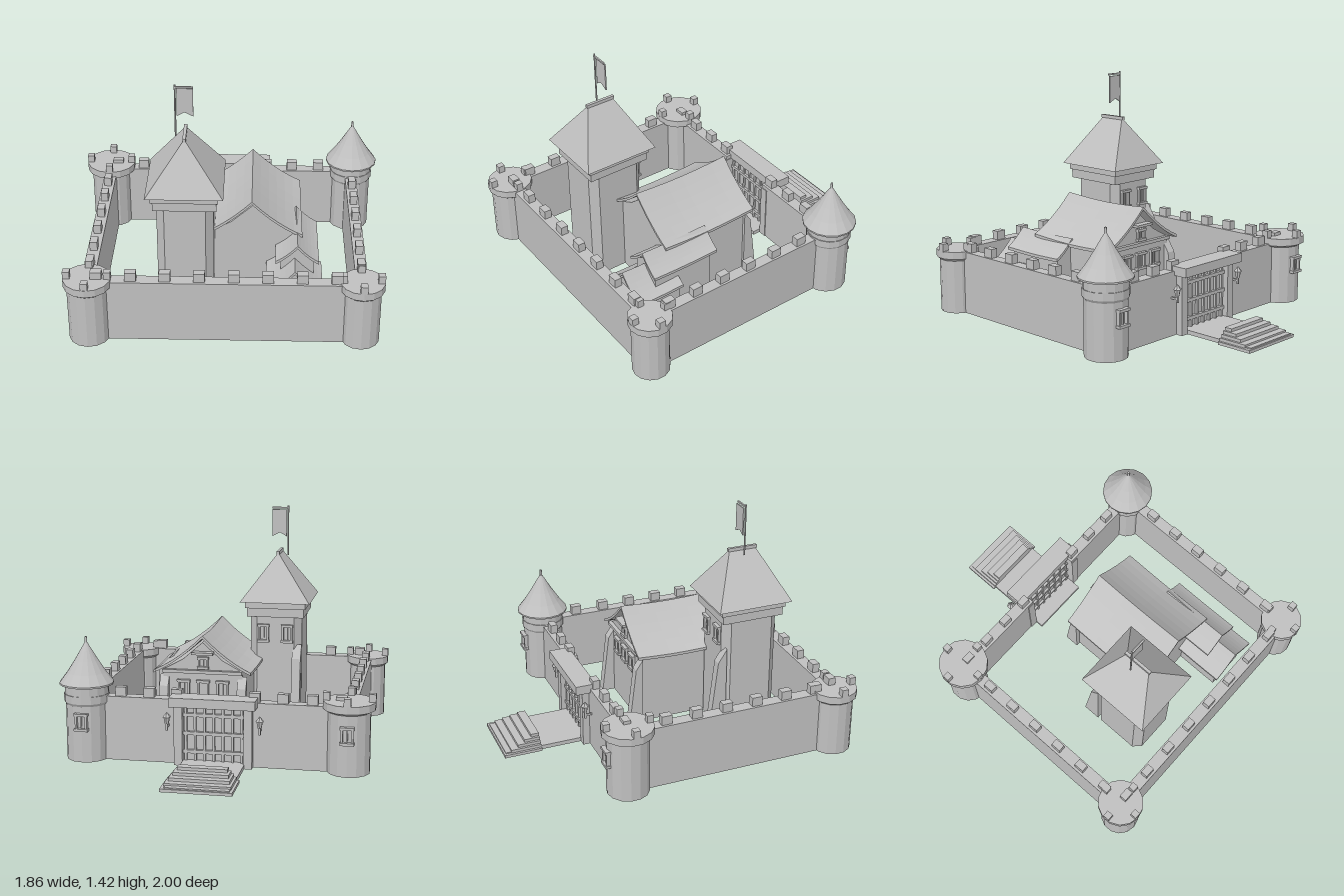
import * as THREE from 'three';

const stone = new THREE.MeshStandardMaterial({ color: 0xc0c0c0 });
stone.name = 'stone grey';

function createMesh(parent, name, geometry, x = 0, y = 0, z = 0) {
  // faceted normals throughout
  const g = geometry.index ? geometry.toNonIndexed() : geometry;
  g.computeVertexNormals();
  const m = new THREE.Mesh(g, stone);
  m.name = name;
  m.position.set(x, y, z);
  parent.add(m);
  return m;
}

// box given by its extents
function box(parent, name, x0, x1, y0, y1, z0, z1) {
  return createMesh(parent, name, new THREE.BoxGeometry(x1 - x0, y1 - y0, z1 - z0),
    (x0 + x1) / 2, (y0 + y1) / 2, (z0 + z1) / 2);
}

function group(parent, name, x = 0, y = 0, z = 0) {
  const g = new THREE.Group();
  g.name = name;
  g.position.set(x, y, z);
  parent.add(g);
  return g;
}

const lathe = (points, sides) =>
  new THREE.LatheGeometry(points.map(p => new THREE.Vector2(...p)), sides);

const polygon = points => new THREE.Shape(points.map(p => new THREE.Vector2(...p)));

// framed window facing -z
function windowFrame(parent, x, y, z, w = 0.06, h = 0.09) {
  const g = group(parent, 'window', x, y, z);
  for (const s of [-1, 1]) box(g, 'windowJamb', s * w / 2 - 0.006, s * w / 2 + 0.006, -h / 2, h / 2, -0.015, 0.01);
  for (const s of [-1, 1]) box(g, s < 0 ? 'windowSill' : 'windowLintel', -w * 0.68, w * 0.68, s * h / 2 - 0.008, s * h / 2 + 0.008, -0.022, 0.01);
  box(g, 'windowBar', -0.004, 0.004, -h / 2, h / 2, -0.008, 0.01);
}

// sloping buttress leaning on a wall that faces -z
function buttress(parent, x, z, height, depth) {
  const g = new THREE.ExtrudeGeometry(polygon([[0, 0], [depth, 0], [depth * 0.5, height * 0.85], [0, height]]),
    { depth: 0.055, bevelEnabled: false });
  g.rotateY(Math.PI / 2);
  createMesh(parent, 'buttress', g, x - 0.0275, 0, z);
}

// swept gable roof, ridge along z, with a slight sag
function sweptRoof(parent, name, x, z0, z1, half, eave, ridge, sag) {
  const rise = ridge - eave, n = 6, top = [], under = [];
  for (let i = -n; i <= n; i++) {
    const t = Math.abs(i) / n;
    const y = eave + rise * (0.62 * (1 - t) + 0.38 * (1 - t) ** 2);
    top.push([half * i / n, y]);
    under.unshift([half * i / n, y - 0.018]);
  }
  const geo = new THREE.ExtrudeGeometry(polygon([...under, ...top]), { depth: z1 - z0, steps: 6, bevelEnabled: false });
  const p = geo.attributes.position;
  for (let i = 0; i < p.count; i++) {
    p.setY(i, p.getY(i) - sag * Math.sin(Math.PI * p.getZ(i) / (z1 - z0)));
  }
  createMesh(parent, name, geo, x, 0, z0);
}

// body with gable ends under a swept roof
function gableBody(parent, name, x, z0, z1, half, wall, peak) {
  const mid = wall + (peak - wall) * 0.38;
  const geo = new THREE.ExtrudeGeometry(
    polygon([[-half, 0], [half, 0], [half, wall], [half / 2, mid], [0, peak], [-half / 2, mid], [-half, wall]]),
    { depth: z1 - z0, bevelEnabled: false });
  createMesh(parent, name, geo, x, 0, z0);
}

function roundTower(parent, x, z, r, crownR, crownTop, roofed) {
  const t = group(parent, roofed ? 'roofedTower' : 'cornerTower', x, 0, z);
  createMesh(t, 'towerShaft', lathe([[0, 0], [r, 0], [r, crownTop - 0.06], [crownR, crownTop - 0.045], [crownR, crownTop], [0, crownTop]], 14));
  if (roofed) {
    createMesh(t, 'towerNeck', new THREE.CylinderGeometry(r + 0.005, r + 0.005, 0.08, 16), 0, crownTop + 0.03, 0);
    createMesh(t, 'coneRoof', lathe([[0, 0.445], [0.16, 0.45], [0.16, 0.46], [0.115, 0.52], [0.07, 0.59], [0.035, 0.65], [0.008, 0.695], [0.007, 0.73], [0, 0.73]], 16));
  } else {
    for (let i = 0; i < 4; i++) {
      const a = i * Math.PI / 2, d = crownR - 0.022;
      createMesh(t, 'towerMerlon', new THREE.BoxGeometry(0.04, 0.05, 0.04),
        Math.cos(a) * d, crownTop + 0.02, Math.sin(a) * d);
    }
  }
  if (z < 0) windowFrame(t, 0, 0.245, -r);
}

function buildWalls(root) {
  const walls = group(root, 'curtainWalls');
  const H = 0.385, M = 0.44;
  box(walls, 'frontWall', -0.78, 0.77, 0, H, 0.82, 0.895);
  box(walls, 'leftWall', 0.73, 0.80, 0, H, -0.44, 0.86);
  box(walls, 'rightWall', -0.815, -0.74, 0, H, -0.44, 0.86);
  box(walls, 'backWall', -0.78, -0.185, 0, H, -0.477, -0.405);
  box(walls, 'backWall', 0.18, 0.77, 0, H, -0.477, -0.405);
  for (let i = 0; i < 8; i++) {
    const x = -0.73 + i * 0.1935;
    box(walls, 'merlon', x - 0.032, x + 0.032, H, M, 0.835, 0.88);
  }
  for (const wx of [-0.778, 0.765]) for (let i = 0; i < 6; i++) {
    const z = -0.215 + i * 0.188;
    box(walls, 'merlon', wx - 0.022, wx + 0.022, H, M, z - 0.032, z + 0.032);
  }
  for (const x of [-0.735, -0.57, -0.4, -0.235, 0.225, 0.39, 0.56])
    box(walls, 'merlon', x - 0.032, x + 0.032, H, M, -0.463, -0.42);
}

function buildGate(root) {
  const gate = group(root, 'gate');
  box(gate, 'gateLintel', -0.255, 0.25, 0.36, 0.415, -0.565, -0.44);
  for (const s of [-1, 1]) box(gate, 'gatePost', s * 0.205 - 0.025, s * 0.205 + 0.025, 0, 0.36, -0.52, -0.4);
  box(gate, 'gateDoor', -0.185, 0.185, 0.02, 0.36, -0.475, -0.455);
  for (let i = 0; i < 7; i++) {
    const x = -0.165 + i * 0.055;
    box(gate, 'gateBar', x - 0.007, x + 0.007, 0.025, 0.36, -0.49, -0.445);
  }
  for (const y of [0.08, 0.19, 0.3]) box(gate, 'gateBand', -0.185, 0.185, y - 0.01, y + 0.01, -0.495, -0.44);
  box(gate, 'bridgeDeck', -0.185, 0.18, 0, 0.025, -0.99, -0.35);
  // steps narrow as they climb
  for (let i = 0; i < 5; i++) {
    const w = 0.203 - i * 0.015;
    box(gate, 'step', -w, w, i * 0.018, (i + 1) * 0.018, -1 + i * 0.045, -0.77);
  }
  for (const x of [-0.275, 0.27]) {
    const lamp = group(gate, 'lantern', x, 0.27, -0.52);
    createMesh(lamp, 'lanternBody', new THREE.CylinderGeometry(0.02, 0.012, 0.04, 6));
    createMesh(lamp, 'lanternCap', new THREE.ConeGeometry(0.026, 0.03, 6), 0, 0.035, 0);
    box(lamp, 'lanternStem', -0.006, 0.006, -0.06, -0.01, -0.006, 0.006);
    box(lamp, 'lanternArm', -0.005, 0.005, -0.045, -0.033, 0, 0.05);
  }
}

function buildKeep(root) {
  const keep = group(root, 'keep', -0.2375, 0, 0.4975);
  const w = 0.1625, d = 0.1775, c = 0.045;
  const shaft = new THREE.ExtrudeGeometry(
    polygon([[-w, c - d], [c - w, -d], [w - c, -d], [w, c - d], [w, d - c], [w - c, d], [c - w, d], [-w, d - c]]),
    { depth: 0.74, bevelEnabled: false });
  createMesh(keep, 'keepShaft', shaft.rotateX(-Math.PI / 2));
  box(keep, 'keepCornice', -0.18, 0.18, 0.735, 0.79, -0.195, 0.195);
  box(keep, 'keepCornice', -0.19, 0.19, 0.79, 0.832, -0.207, 0.207);
  // hipped roof: a box whose top shrinks to a short ridge
  const roof = new THREE.BoxGeometry(0.44, 0.295, 0.47);
  const p = roof.attributes.position;
  for (let i = 0; i < p.count; i++) if (p.getY(i) > 0) {
    p.setX(i, Math.sign(p.getX(i)) * 0.003);
    p.setZ(i, Math.sign(p.getZ(i)) * 0.083);
  }
  createMesh(keep, 'keepRoof', roof, 0, 0.9775, 0);
  box(keep, 'ridgeCap', -0.009, 0.009, 1.118, 1.138, -0.093, 0.093);
  for (const x of [-0.075, 0.075]) windowFrame(keep, x, 0.63, -d, 0.055, 0.1);
  buttress(keep, -0.147 + 0.01, -d + 0.02, 0.56, 0.11);
  // flag
  const flag = group(keep, 'flag', -0.0525, 0, -0.01);
  createMesh(flag, 'flagPole', new THREE.CylinderGeometry(0.005, 0.005, 0.315, 8), 0, 1.2625, 0);
  box(flag, 'flagBar', -0.005, 0.1, 1.4, 1.41, -0.005, 0.005);
  const cloth = new THREE.ExtrudeGeometry(
    polygon([[0.008, 1.395], [0.008, 1.225], [0.05, 1.25], [0.1, 1.225], [0.1, 1.395]]), { depth: 0.008, bevelEnabled: false });
  createMesh(flag, 'flagCloth', cloth, 0, 0, -0.012);
}

function buildHall(root) {
  const hall = group(root, 'hall');
  gableBody(hall, 'hallBody', 0.145, -0.1, 0.47, 0.245, 0.47, 0.645);
  sweptRoof(hall, 'hallRoof', 0.14, -0.13, 0.51, 0.295, 0.475, 0.692, 0.014);
  box(hall, 'tieBeam', -0.1, 0.39, 0.455, 0.475, -0.125, -0.1);
  box(hall, 'gableTrim', 0.075, 0.205, 0.575, 0.59, -0.145, -0.09);
  for (const x of [-0.1, 0.38]) buttress(hall, x, -0.09, 0.44, 0.09);
  for (const x of [0.02, 0.14, 0.26]) windowFrame(hall, x, 0.36, -0.1);
  windowFrame(hall, 0.14, 0.52, -0.1, 0.05, 0.06);
  // side wing and lower porch
  gableBody(hall, 'wingBody', 0.405, 0.24, 0.63, 0.095, 0.385, 0.46);
  sweptRoof(hall, 'wingRoof', 0.405, 0.21, 0.655, 0.125, 0.385, 0.49, 0.005);
  gableBody(hall, 'porchBody', 0.39, 0.47, 0.745, 0.12, 0.26, 0.37);
  sweptRoof(hall, 'porchRoof', 0.39, 0.47, 0.785, 0.162, 0.265, 0.4, 0.005);
}

export function createModel() {
  const root = new THREE.Group();
  root.name = 'castle';
  buildWalls(root);
  buildGate(root);
  roundTower(root, -0.78, -0.445, 0.125, 0.153, 0.42, false);
  roundTower(root, 0.77, -0.443, 0.125, 0.135, 0.395, true);
  roundTower(root, -0.782, 0.86, 0.118, 0.137, 0.395, false);
  roundTower(root, 0.768, 0.852, 0.11, 0.128, 0.39, false);
  buildKeep(root);
  buildHall(root);
  return root;
}
